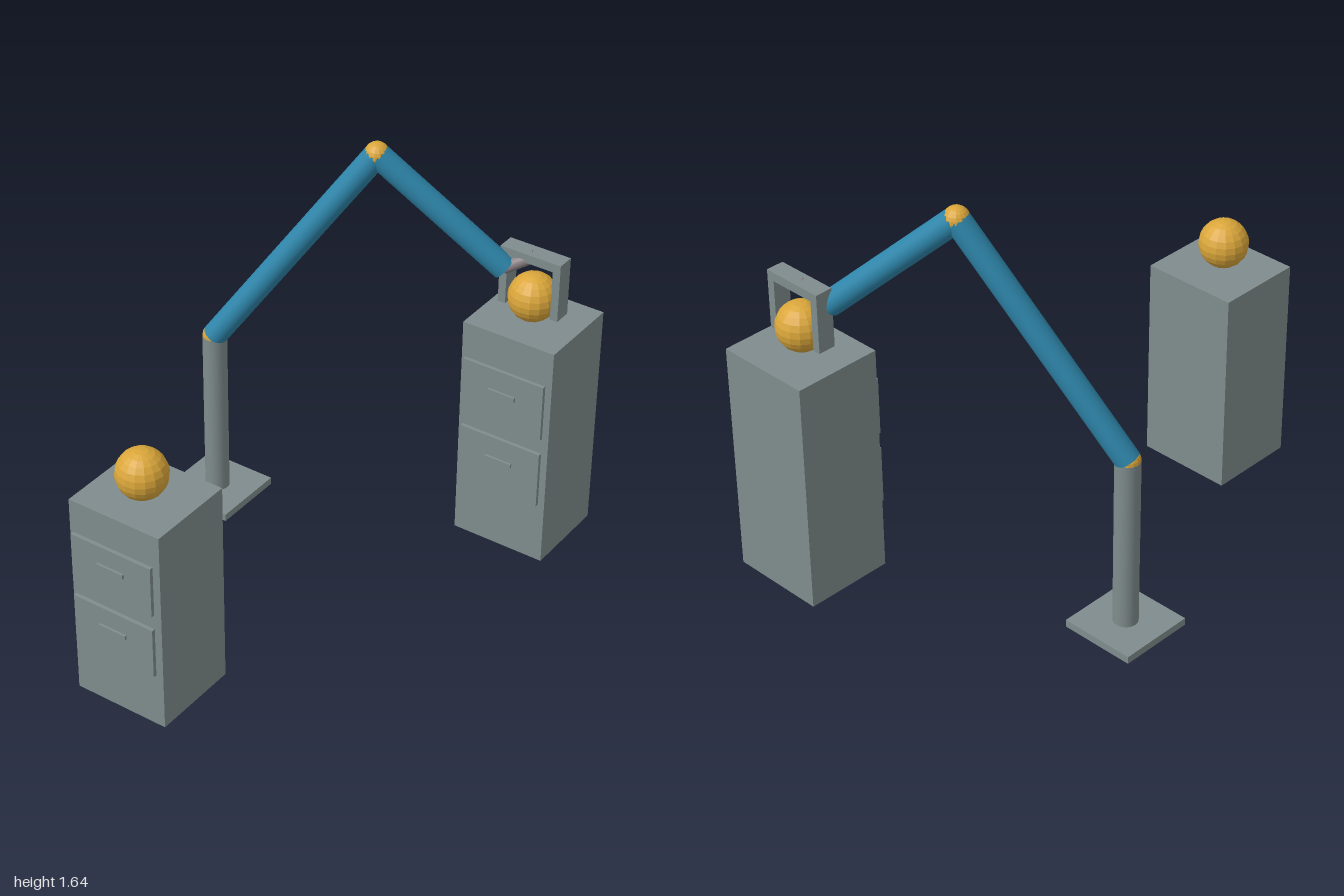
import * as THREE from 'three';

const mat = (name, color, flatShading = false) => {
  const m = new THREE.MeshStandardMaterial({ color, flatShading });
  m.name = name;
  return m;
};

export function createModel() {
  const grey = mat('steel grey', 0x7f8c8d);
  const blue = mat('arm blue', 0x2e86ab);
  const gold = mat('gold', 0xdaa63a, true);
  const mauve = mat('wrist grey', 0x8a8084);

  const model = new THREE.Group();
  model.name = 'robotArmWithCabinets';

  const add = (parent, name, geometry, material, x, y, z) => {
    const mesh = new THREE.Mesh(geometry, material);
    mesh.name = name;
    mesh.position.set(x, y, z);
    parent.add(mesh);
    return mesh;
  };
  const box = (parent, name, w, h, d, x, y, z) =>
    add(parent, name, new THREE.BoxGeometry(w, h, d), grey, x, y, z);
  const ball = (parent, name, r, x, y, z) =>
    add(parent, name, new THREE.SphereGeometry(r, 16, 12), gold, x, y, z);

  // Straight round bar between two points
  const rod = (parent, name, a, b, r, material) => {
    const dir = b.clone().sub(a);
    const mid = a.clone().add(b).multiplyScalar(0.5);
    const mesh = add(parent, name, new THREE.CylinderGeometry(r, r, dir.length(), 32), material, mid.x, mid.y, mid.z);
    mesh.quaternion.setFromUnitVectors(new THREE.Vector3(0, 1, 0), dir.normalize());
    return mesh;
  };

  // Cabinet with two drawers, their handles and a ball on top
  const cabinet = (name, x, z, height, drawerHeight, drawerYs) => {
    const g = new THREE.Group();
    g.name = name;
    g.position.set(x, 0, z);
    model.add(g);
    box(g, 'cabinetBody', 0.393, height, 0.36, 0, height / 2, 0);
    for (const y of drawerYs) {
      box(g, 'drawerFront', 0.349, drawerHeight, 0.015, 0, y, 0.198);
      box(g, 'drawerHandle', 0.116, 0.018, 0.012, 0, y, 0.209);
    }
    ball(g, 'ball', 0.097, 0, height + 0.097, 0);
  };
  cabinet('frontCabinet', -0.061, 0.785, 0.84, 0.208, [0.612, 0.342]);
  cabinet('rearCabinet', 0.526, -0.82, 0.95, 0.237, [0.69, 0.386]);
  // Handles sit slightly above the drawer centres
  model.traverse((o) => { if (o.name === 'drawerHandle') o.position.y += 0.022; });
  // Rear ball rests under the gripper
  model.getObjectByName('rearCabinet').getObjectByName('ball').position.z = 0.012;
  model.getObjectByName('frontCabinet').getObjectByName('ball').position.z = 0.015;

  // Arm: base, post, two links and joints
  const arm = new THREE.Group();
  arm.name = 'robotArm';
  model.add(arm);
  const foot = new THREE.Vector3(-0.572, 0.03, -0.292);
  const shoulder = new THREE.Vector3(-0.572, 0.735, -0.292);
  const elbow = new THREE.Vector3(-0.013, 1.59, -0.552);
  const wrist = new THREE.Vector3(0.423, 1.16, -0.758);
  const grip = new THREE.Vector3(0.525, 1.222, -0.807);
  box(arm, 'basePlate', 0.306, 0.03, 0.306, foot.x, 0.015, foot.z);
  rod(arm, 'post', foot, shoulder, 0.048, grey);
  rod(arm, 'upperArm', shoulder, elbow, 0.048, blue);
  rod(arm, 'forearm', elbow, wrist, 0.048, blue);
  rod(arm, 'wristLink', wrist, grip, 0.024, mauve);
  ball(arm, 'shoulderJoint', 0.048, ...shoulder.toArray());
  ball(arm, 'elbowJoint', 0.049, ...elbow.toArray());

  // Gripper: top bar and two fingers
  const gripper = new THREE.Group();
  gripper.name = 'gripper';
  gripper.position.copy(grip);
  arm.add(gripper);
  box(gripper, 'gripperBar', 0.258, 0.036, 0.072, 0, 0, 0);
  for (const s of [-1, 1]) {
    box(gripper, 'gripperFinger', 0.032, 0.206, 0.072, s * 0.113, -0.119, 0);
  }
  return model;
}
